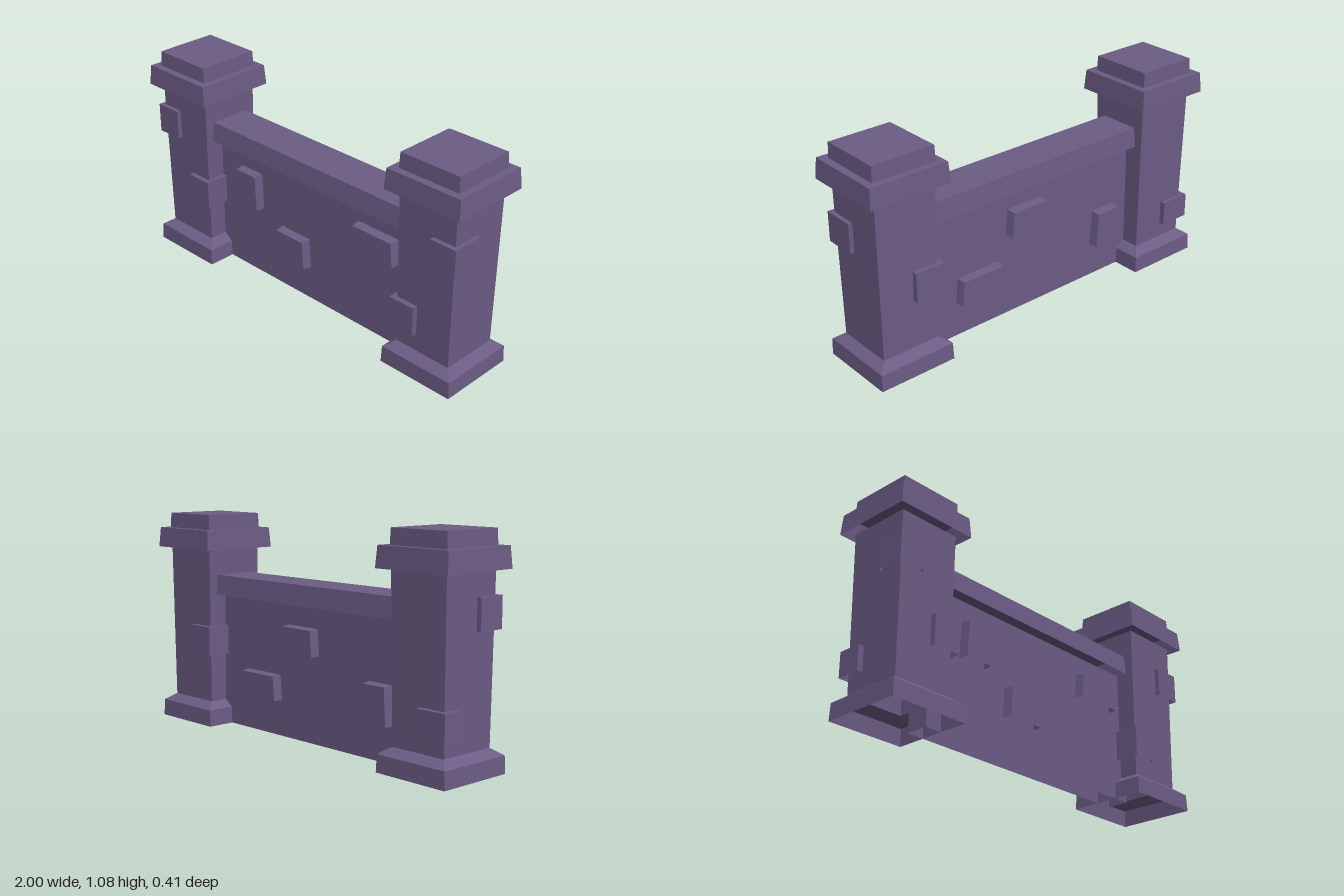
import * as THREE from 'three';

const stone = new THREE.MeshStandardMaterial({ color: 0x6c5c85, side: THREE.DoubleSide });
stone.name = 'purple stone';

// Four-sided hollow block between y0 and y1, open below and, if asked, above.
// bottom and top are [half width, half depth]; inset narrows the +z face.
function block(name, y0, y1, bottom, top, { openTop = false, inset = 0 } = {}) {
  const box = new THREE.BoxGeometry(2, 1, 2);
  const index = Array.from(box.index.array);
  index.splice(openTop ? 12 : 18, openTop ? 12 : 6);
  box.setIndex(index);
  const geo = box.toNonIndexed();
  const p = geo.attributes.position;
  for (let i = 0; i < p.count; i++) {
    const high = p.getY(i) > 0;
    const [hx, hz] = high ? top : bottom;
    const cut = p.getZ(i) > 0 ? inset : 0;
    p.setXYZ(i, p.getX(i) * (hx - cut), high ? y1 - cut : y0, p.getZ(i) * hz);
  }
  geo.computeVertexNormals();
  const mesh = new THREE.Mesh(geo, stone);
  mesh.name = name;
  return mesh;
}

// Hollow pillar: foot, bevel, flared shaft, cap and top slab
function pillar(name, x) {
  const g = new THREE.Group();
  g.name = name;
  const tiers = [
    ['foot', 0, 0.083, 0.2, 0.197, true],
    ['footBevel', 0.083, 0.117, 0.197, 0.15, true],
    ['shaft', 0.117, 0.902, 0.15, 0.158, true],
    ['cap', 0.9, 1.0, 0.207, 0.2, false],
    ['topSlab', 1.0, 1.075, 0.163, 0.16, false],
  ];
  for (const [part, y0, y1, a, b, openTop] of tiers) {
    g.add(block(part, y0, y1, [a, a], [b, b], { openTop }));
  }
  g.position.x = x;
  return g;
}

export function createModel() {
  const model = new THREE.Group();
  model.name = 'stoneWall';

  model.add(pillar('rightPillar', -0.793), pillar('leftPillar', 0.793));

  // Wall between the pillars and its overhanging, sloped coping
  model.add(block('wall', 0, 0.672, [0.68, 0.056], [0.68, 0.056], { openTop: true }));
  model.add(block('coping', 0.67, 0.77, [0.66, 0.115], [0.66, 0.104]));

  // Corner stones on the pillars: x0, x1, y0, y1, z0, z1
  const corners = [
    [-0.972, -0.832, 0.64, 0.788, 0.04, 0.18],
    [-0.76, -0.617, 0.317, 0.462, 0.03, 0.18],
    [0.83, 0.97, 0.595, 0.742, 0.02, 0.18],
    [0.615, 0.755, 0.205, 0.355, 0.03, 0.18],
    [-0.972, -0.81, 0.197, 0.32, -0.18, -0.06],
    [0.617, 0.77, 0.36, 0.508, -0.18, -0.03],
  ];
  for (const [x0, x1, y0, y1, z0, z1] of corners) {
    const half = [(x1 - x0) / 2, (z1 - z0) / 2];
    const mesh = block('cornerStone', y0, y1, half, half);
    mesh.position.set((x0 + x1) / 2, 0, (z0 + z1) / 2);
    model.add(mesh);
  }

  // Tapered stones on the wall faces: x, y0, y1, bottom half width, side
  const wallStones = [
    [-0.415, 0.382, 0.57, 0.082, 1],
    [-0.109, 0.182, 0.335, 0.105, 1],
    [0.429, 0.443, 0.57, 0.133, 1],
    [0.331, 0.18, 0.307, 0.133, -1],
    [0.044, 0.432, 0.564, 0.115, -1],
    [-0.478, 0.178, 0.365, 0.082, -1],
  ];
  for (const [x, y0, y1, w, side] of wallStones) {
    const mesh = block('wallStone', y0, y1, [w, 0.03], [w - 0.01, 0.03], { inset: 0.006 });
    mesh.position.set(x, 0, side * 0.073);
    if (side < 0) mesh.rotation.y = Math.PI;
    model.add(mesh);
  }

  return model;
}
